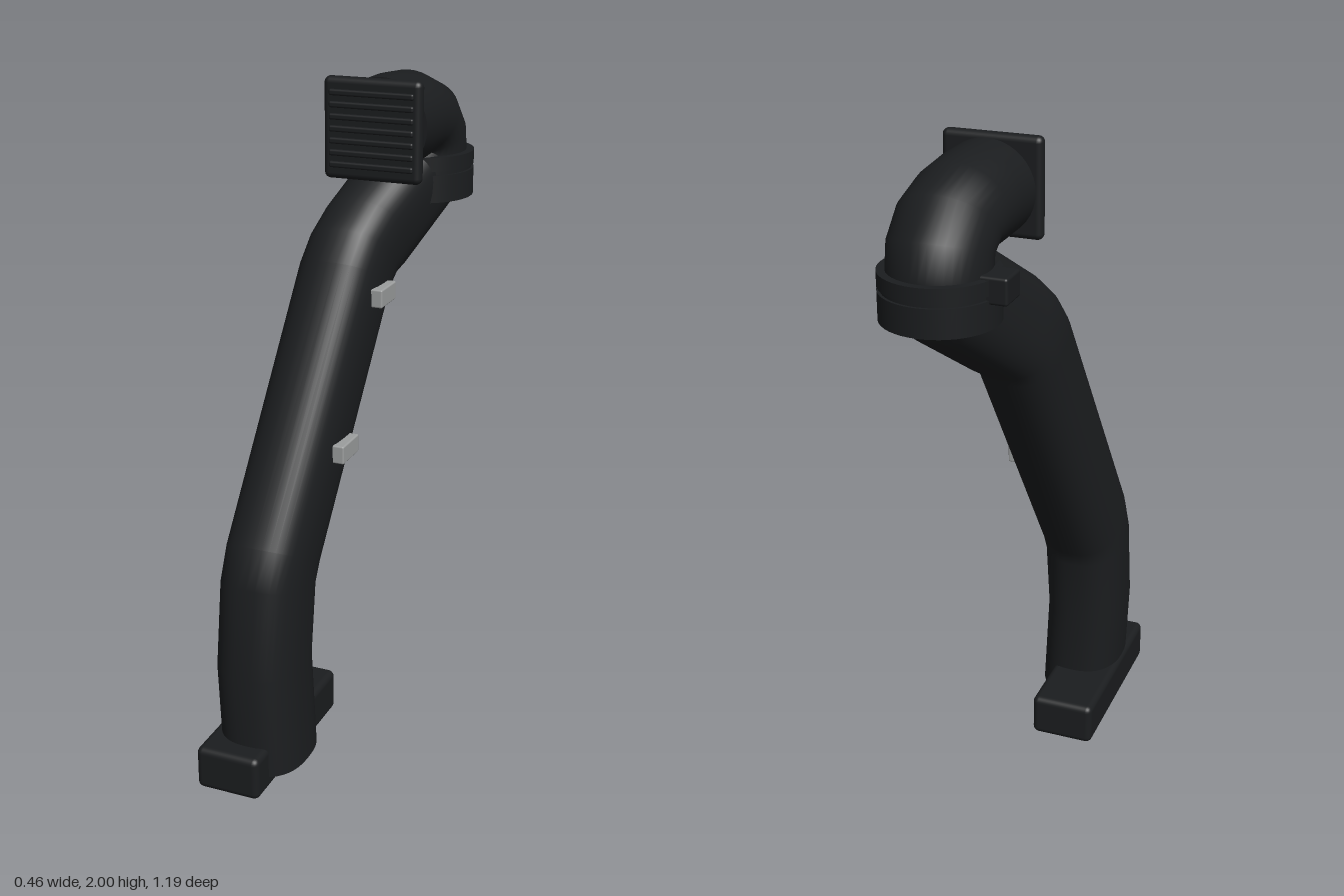
import * as THREE from 'three';
import { RoundedBoxGeometry } from 'three/addons/geometries/RoundedBoxGeometry.js';

const black = new THREE.MeshStandardMaterial({ color: 0x1b1d1f });
const grey = new THREE.MeshStandardMaterial({ color: 0x9c9e9e });

// Loft through rows [x, y, z, lean in degrees towards -z, half width, half depth].
// Power 2 gives an ellipse, higher powers a squarer section.
function loft(rows, power, segments = 40) {
  const pos = [], index = [];
  const ring = ([x, y, z, lean, w, d]) => {
    const a = THREE.MathUtils.degToRad(lean);
    const start = pos.length / 3;
    for (let j = 0; j < segments; j++) {
      const t = (j / segments) * Math.PI * 2;
      const bend = (v) => Math.sign(v) * Math.abs(v) ** (2 / power);
      const u = bend(Math.cos(t)) * w, v = bend(Math.sin(t)) * d;
      pos.push(x + u, y + v * Math.sin(a), z + v * Math.cos(a));
    }
    return start;
  };
  const starts = rows.map(ring);
  for (let i = 0; i < rows.length - 1; i++) {
    for (let j = 0; j < segments; j++) {
      const k = (j + 1) % segments;
      const a = starts[i] + j, b = starts[i] + k;
      const c = starts[i + 1] + j, d = starts[i + 1] + k;
      index.push(a, c, b, b, c, d);
    }
  }
  // End caps with their own vertices keep the rims sharp
  [rows[0], rows[rows.length - 1]].forEach((row, end) => {
    const s = ring(row), centre = pos.length / 3;
    pos.push(row[0], row[1], row[2]);
    for (let j = 0; j < segments; j++) {
      const a = s + j, b = s + ((j + 1) % segments);
      if (end === 0) index.push(centre, a, b);
      else index.push(centre, b, a);
    }
  });
  const g = new THREE.BufferGeometry();
  g.setAttribute('position', new THREE.Float32BufferAttribute(pos, 3));
  g.setIndex(index);
  g.computeVertexNormals();
  return g;
}

export function createModel() {
  const model = new THREE.Group();
  model.name = 'intakeSnorkel';

  const add = (name, geometry, material, x = 0, y = 0, z = 0) => {
    const mesh = new THREE.Mesh(geometry, material);
    mesh.name = name;
    mesh.position.set(x, y, z);
    model.add(mesh);
    return mesh;
  };
  // Rounded box given by its minimum and maximum corners
  const block = (name, min, max, radius, material = black) => {
    const s = max.map((v, i) => v - min[i]);
    const c = max.map((v, i) => (v + min[i]) / 2);
    return add(name, new RoundedBoxGeometry(...s, 3, radius), material, ...c);
  };

  // Foot
  block('base', [-0.23, 0, 0.02], [-0.03, 0.135, 0.595], 0.02);

  // Leaning duct
  add('duct', loft([
    [-0.092, 0.04, 0.375, 0, 0.127, 0.155],
    [-0.105, 0.35, 0.375, 2, 0.126, 0.155],
    [-0.103, 0.59, 0.345, 14, 0.126, 0.155],
    [-0.098, 0.67, 0.318, 28, 0.126, 0.155],
    [-0.04, 1.41, -0.085, 29, 0.126, 0.155],
    [-0.032, 1.467, -0.135, 40, 0.126, 0.155],
    [-0.015, 1.512, -0.19, 53, 0.127, 0.155],
    [0.053, 1.665, -0.4, 53, 0.132, 0.152],
    [0.06, 1.7, -0.42, 40, 0.132, 0.15],
  ], 2.5), black);

  // Clamp collar: two bands with a groove between
  const cx = 0.062, cz = -0.43;
  for (const [name, radius, bottom, top] of [
    ['lowerBand', 0.165, 1.6, 1.682],
    ['collarGroove', 0.157, 1.61, 1.73],
    ['upperBand', 0.165, 1.694, 1.736],
  ]) {
    add(name, new THREE.CylinderGeometry(radius, radius, top - bottom, 48), black,
      cx, (top + bottom) / 2, cz);
  }
  block('clampLug', [-0.145, 1.67, -0.48], [-0.06, 1.745, -0.385], 0.008);

  // Elbow turning towards the front
  const r = 0.142;
  add('elbow', loft([
    [cx, 1.68, cz, 0, r, r],
    [cx, 1.735, cz, 0, r, r],
    [cx, 1.79, -0.42, -20, r, r],
    [cx, 1.838, -0.362, -45, r, r],
    [cx, 1.853, -0.28, -72, r, r * 0.98],
    [cx, 1.857, -0.2, -90, r, r * 0.975],
    [cx, 1.857, -0.1, -90, r, r * 0.975],
  ], 2), black);

  // Grille plate with horizontal slats
  block('grillePlate', [-0.085, 1.71, -0.067], [0.21, 2, -0.027], 0.018);
  for (let i = 0; i < 7; i++) {
    const y = 1.753 + i * 0.034;
    block('grilleSlat', [-0.065, y - 0.009, -0.04], [0.19, y + 0.009, -0.019], 0.006);
  }

  // Mounting brackets on the side of the duct
  block('upperBracket', [0.03, 1.347, -0.115], [0.11, 1.402, -0.002], 0.005, grey);
  block('lowerBracket', [0.0, 0.935, 0.098], [0.08, 0.99, 0.213], 0.005, grey);

  return model;
}
